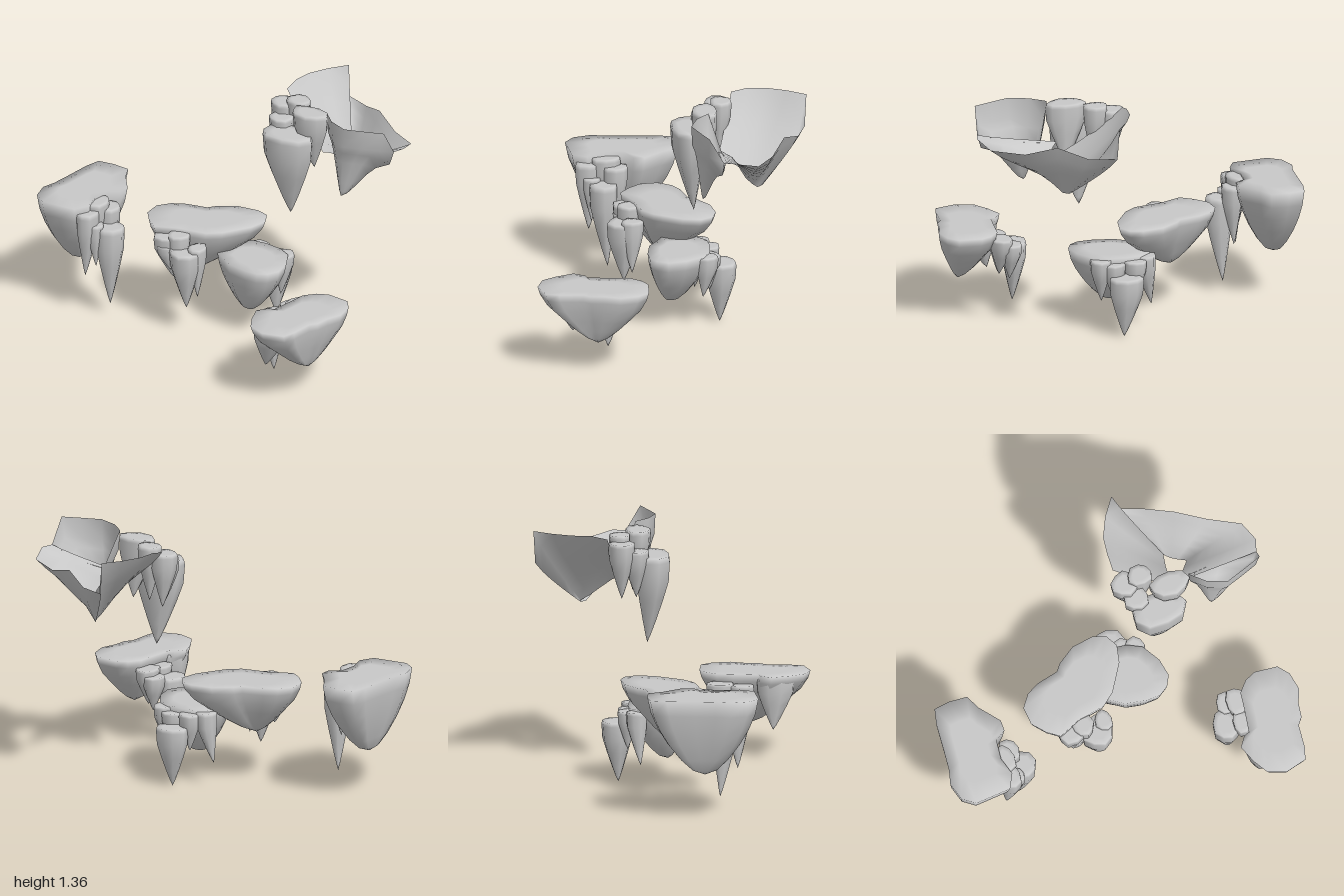
import * as THREE from 'three';

const stone = new THREE.MeshStandardMaterial({ color: 0xc8c8c8, side: THREE.DoubleSide });
stone.name = 'stone grey';

// Profiles: [depth fraction, width fraction], rim to just above the tip
const BOWL = [[0, 1], [0.14, 0.96], [0.34, 0.84], [0.55, 0.62], [0.75, 0.4], [0.9, 0.2]];
const BLUNT = [[0, 1], [0.2, 0.94], [0.4, 0.82], [0.6, 0.65], [0.8, 0.43], [0.94, 0.22]];
const SPIKE = [[0, 0.96], [0.06, 1], [0.28, 0.95], [0.5, 0.7], [0.75, 0.38], [0.92, 0.14]];
const FLARE = [[0, 1], [0.25, 0.92], [0.36, 0.66], [0.5, 0.5], [0.8, 0.24], [0.93, 0.12]];

function toMesh(name, pos, index) {
  const g = new THREE.BufferGeometry();
  g.setAttribute('position', new THREE.Float32BufferAttribute(pos, 3));
  g.setIndex(index);
  g.computeVertexNormals();
  const m = new THREE.Mesh(g, stone);
  m.name = name;
  return m;
}

// Rock lofted from an outline of [x, z, optional rim y] down to a tip.
// The lid shares the rim corners, so the shading rolls softly over the edge.
function rock(name, outline, top, tip, profile, lid = true) {
  let area = 0;
  outline.forEach((p, i) => {
    const q = outline[(i + 1) % outline.length];
    area += p[0] * q[1] - q[0] * p[1];
  });
  const pts = area < 0 ? [...outline].reverse() : outline;
  const n = pts.length, pos = [], index = [];
  for (const [d, s] of profile) {
    for (const [x, z, y = top] of pts) {
      pos.push(tip[0] + (x - tip[0]) * s, y + (tip[1] - y) * d, tip[2] + (z - tip[2]) * s);
    }
  }
  pos.push(...tip);
  const end = profile.length * n;
  for (let r = 0; r < profile.length; r++) {
    for (let i = 0; i < n; i++) {
      const j = (i + 1) % n, a = r * n + i, b = r * n + j;
      if (r === profile.length - 1) index.push(a, b, end);
      else index.push(a, b, b + n, a, b + n, a + n);
    }
  }
  if (lid) {
    const base = end + 1;
    const cx = pts.reduce((t, p) => t + p[0], 0) / n, cz = pts.reduce((t, p) => t + p[1], 0) / n;
    const inner = pts.map(([x, z]) => new THREE.Vector2(cx + (x - cx) * 0.6, cz + (z - cz) * 0.6));
    inner.forEach((p, i) => {
      const j = (i + 1) % n;
      pos.push(p.x, top, p.y);
      index.push(i, base + i, base + j, i, base + j, j);
    });
    for (const [a, b, c] of THREE.ShapeUtils.triangulateShape(inner, [])) index.push(base + a, base + c, base + b);
  }
  return toMesh(name, pos, index);
}

// Hanging spike: lumpy round outline at (x, z), then its tip
function spike(x, z, rx, rz, top, tip) {
  const outline = [];
  for (let i = 0; i < 9; i++) {
    const a = i / 9 * Math.PI * 2, k = 1 + 0.07 * Math.sin(i * 2.3 + x * 20);
    outline.push([x + Math.cos(a) * rx * k, z + Math.sin(a) * rz * k]);
  }
  return rock('hangingSpike', outline, top, tip, SPIKE);
}

function island(name, body, spikes) {
  const g = new THREE.Group();
  g.name = name;
  g.add(...body, ...spikes.map((s) => spike(...s)));
  return g;
}

// Open bowl running from a rim to the edge of the hole in its floor
function shell(name, rim, hole) {
  const rows = 6, n = rim.length, pos = [], index = [];
  for (let r = 0; r <= rows; r++) {
    const f = r / rows;
    rim.forEach((p, i) => {
      const q = hole[i];
      pos.push(p[0] + (q[0] - p[0]) * f, p[1] + (q[1] - p[1]) * Math.pow(f, 0.85), p[2] + (q[2] - p[2]) * f);
    });
  }
  for (let r = 0; r < rows; r++) {
    for (let i = 0; i < n - 1; i++) {
      const a = r * n + i;
      index.push(a, a + 1, a + n + 1, a, a + n + 1, a + n);
    }
  }
  return toMesh(name, pos, index);
}

export function createModel() {
  const model = new THREE.Group();
  model.name = 'floatingRocks';

  // Right-hand island
  model.add(island('rightIsland', [
    rock('islandBody', [[-0.94, -0.14], [-0.85, -0.155], [-0.75, -0.15], [-0.71, -0.07], [-0.62, 0.04], [-0.62, 0.1],
      [-0.68, 0.14], [-0.69, 0.25], [-0.66, 0.35], [-0.7, 0.43], [-0.8, 0.44], [-0.9, 0.45], [-0.97, 0.4],
      [-1, 0.3], [-0.98, 0.22], [-0.97, 0.1], [-0.96, -0.05]], 0.68, [-0.85, 0.25, 0.16], BLUNT),
  ], [
    [-0.575, 0.27, 0.075, 0.08, 0.55, [-0.59, 0.07, 0.245]],
    [-0.63, 0.2, 0.06, 0.07, 0.63, [-0.64, 0.29, 0.2]],
    [-0.67, 0.34, 0.06, 0.08, 0.64, [-0.69, 0.25, 0.34]],
    [-0.67, 0.25, 0.06, 0.08, 0.67, [-0.67, 0.36, 0.25]],
    [-0.63, 0.33, 0.045, 0.05, 0.57, [-0.625, 0.32, 0.33]],
  ]));

  // Middle upper island
  model.add(island('middleIsland', [
    rock('islandBody', [[-0.47, -0.02], [-0.42, -0.09], [-0.35, -0.13], [-0.23, -0.16], [-0.2, -0.2], [-0.1, -0.27],
      [0.02, -0.29], [0.09, -0.27], [0.13, -0.2], [0.11, -0.1], [0.05, 0], [0.02, 0.05], [-0.05, 0.11],
      [-0.14, 0.13], [-0.2, 0.14], [-0.33, 0.2], [-0.4, 0.15], [-0.46, 0.08]], 0.59, [-0.22, 0.29, 0], BOWL),
  ], [
    [-0.12, 0.2, 0.09, 0.09, 0.5, [-0.115, 0.16, 0.2]],
    [-0.07, 0.16, 0.05, 0.06, 0.52, [-0.07, 0.22, 0.16]],
    [-0.26, 0.17, 0.08, 0.08, 0.55, [-0.23, 0.3, 0.16]],
    [-0.19, 0.17, 0.06, 0.06, 0.57, [-0.18, 0.3, 0.17]],
    [-0.25, 0.21, 0.05, 0.04, 0.5, [-0.22, 0.36, 0.2]],
  ]));

  // Lower island tucked below the middle one
  model.add(island('lowerIsland', [
    rock('islandBody', [[0.36, 0], [0.33, 0.06], [0.28, 0.095], [0.2, 0.1], [0.08, 0.08], [0.02, 0.04], [-0.05, 0],
      [-0.07, -0.1], [-0.05, -0.18], [0.02, -0.24], [0.1, -0.25], [0.2, -0.24], [0.28, -0.2], [0.34, -0.1]],
    0.43, [0.13, 0.13, -0.03], BLUNT),
  ], [
    [0.12, -0.31, 0.09, 0.085, 0.34, [0.13, 0, -0.3]],
    [-0.02, -0.2, 0.06, 0.06, 0.42, [-0.06, 0.13, -0.18]],
    [0.05, -0.25, 0.06, 0.06, 0.41, [0.05, 0.2, -0.25]],
    [0.24, -0.22, 0.06, 0.06, 0.42, [0.23, 0.18, -0.2]],
    [0.17, -0.24, 0.06, 0.06, 0.4, [0.17, 0.2, -0.24]],
  ]));

  // Left-hand island, a body with two blunt points
  model.add(island('leftIsland', [
    rock('islandBody', [[0.8, 0.15], [0.93, 0.16], [0.98, 0.22], [1, 0.32], [0.97, 0.4], [0.96, 0.48], [0.93, 0.52],
      [0.92, 0.65], [0.9, 0.72], [0.78, 0.755], [0.68, 0.72], [0.63, 0.64], [0.59, 0.54], [0.63, 0.48],
      [0.66, 0.47], [0.68, 0.33], [0.69, 0.24], [0.74, 0.18]], 0.475, [0.86, 0.17, 0.43], BOWL),
    spike(0.71, 0.56, 0.1, 0.11, 0.45, [0.66, 0.17, 0.55]),
  ], [
    [0.565, 0.35, 0.07, 0.09, 0.38, [0.575, 0.04, 0.35]],
    [0.61, 0.24, 0.06, 0.065, 0.4, [0.62, 0.2, 0.25]],
    [0.66, 0.26, 0.06, 0.08, 0.43, [0.67, 0.22, 0.28]],
    [0.65, 0.38, 0.05, 0.07, 0.42, [0.65, 0.2, 0.38]],
  ]));

  // Hollow upper rock: back shell, front wall and its spikes
  model.add(island('upperRock', [
    shell('backShell', [[0.16, 1.34, -0.36], [0.16, 1.36, -0.45], [0.17, 1.36, -0.55], [0.22, 1.36, -0.66],
      [0.29, 1.36, -0.76], [0.3, 1.18, -0.75], [0.45, 1.18, -0.7], [0.6, 1.23, -0.61], [0.76, 1.18, -0.53],
      [0.93, 1.19, -0.44], [0.97, 1.22, -0.32], [0.95, 1.22, -0.25]],
    [[0.47, 1.08, -0.26], [0.475, 1.05, -0.33], [0.48, 1, -0.4], [0.49, 0.96, -0.45], [0.5, 0.93, -0.5],
      [0.5, 0.92, -0.5], [0.51, 0.92, -0.49], [0.53, 0.92, -0.47], [0.56, 0.95, -0.44], [0.6, 1, -0.4],
      [0.56, 1.11, -0.33], [0.5, 1.14, -0.25]]),
    rock('frontWall', [[0.94, -0.17], [0.84, -0.13], [0.73, -0.09], [0.62, -0.13], [0.54, -0.2],
      [0.6, -0.27, 1.15], [0.75, -0.28, 1.17], [0.95, -0.25, 1.22]], 1.36, [0.66, 0.91, -0.16], FLARE, false),
  ], [
    [0.34, -0.11, 0.155, 0.1, 1.22, [0.34, 0.73, -0.14]],
    [0.43, -0.19, 0.11, 0.07, 1.34, [0.44, 1.0, -0.22]],
    [0.2, -0.28, 0.075, 0.07, 1.31, [0.21, 1.0, -0.28]],
    [0.29, -0.29, 0.07, 0.06, 1.34, [0.3, 1.02, -0.27]],
    [0.24, -0.2, 0.07, 0.07, 1.26, [0.25, 1.0, -0.2]],
  ]));

  return model;
}
